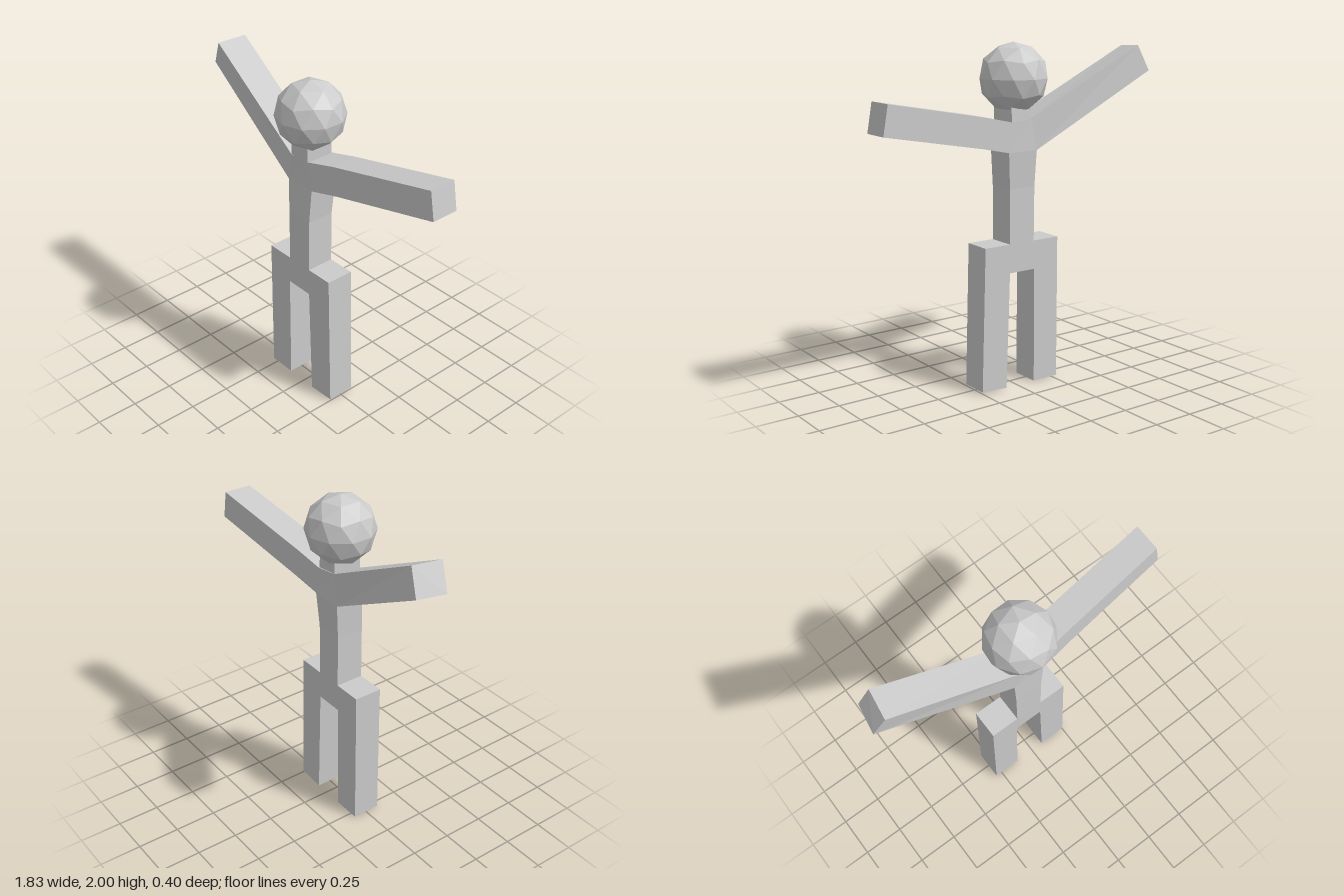
import * as THREE from 'three';

const material = new THREE.MeshStandardMaterial({ color: 0xcccccc, flatShading: true });

function part(name, geometry) {
  const mesh = new THREE.Mesh(geometry, material);
  mesh.name = name;
  return mesh;
}

// Flat-sided skin through four-cornered sections, optionally closed at the ends
function loft(sections, capped) {
  const positions = [];
  const quad = (a, b, c, d) => positions.push(...a, ...b, ...c, ...a, ...c, ...d);
  for (let s = 0; s < sections.length - 1; s++) {
    const a = sections[s], b = sections[s + 1];
    for (let i = 0; i < 4; i++) {
      const j = (i + 1) % 4;
      quad(a[i], b[i], b[j], a[j]);
    }
  }
  if (capped) {
    quad(...sections[0]);
    quad(...[...sections[sections.length - 1]].reverse());
  }
  const geometry = new THREE.BufferGeometry();
  geometry.setAttribute('position', new THREE.Float32BufferAttribute(positions, 3));
  geometry.computeVertexNormals();
  return geometry;
}

// Level rectangle for upright parts
const level = (y, x0, x1, back, front) =>
  [[x0, y, back], [x1, y, back], [x1, y, front], [x0, y, front]];

// Arm section: lower and upper edge points, swept from front to back
const across = (xLow, yLow, xHigh, yHigh, front, back) =>
  [[xLow, yLow, front], [xHigh, yHigh, front], [xHigh, yHigh, back], [xLow, yLow, back]];

export function createModel() {
  const model = new THREE.Group();
  model.name = 'stickFigure';

  // Hips and both legs share one outline
  const outline = new THREE.Shape([
    [-0.29, 0], [-0.12, 0], [-0.12, 0.69], [0.055, 0.69],
    [0.08, 0], [0.25, 0.01], [0.225, 0.86], [-0.29, 0.86],
  ].map(([x, y]) => new THREE.Vector2(x, y)));
  const legs = new THREE.ExtrudeGeometry(outline, { depth: 0.17, bevelEnabled: false });
  legs.translate(0, 0, -0.083);
  model.add(part('hipsAndLegs', legs));

  // Torso, widening slightly towards the shoulders
  model.add(part('torso', loft([
    level(0.86, -0.115, 0.055, -0.083, 0.087),
    level(1.18, -0.118, 0.055, -0.083, 0.085),
    level(1.39, -0.125, 0.07, -0.095, 0.08),
  ])));

  // Arms run from hand to hand through the chest
  model.add(part('armsAndChest', loft([
    [[-0.915, 1.8, -0.02], [-0.84, 1.95, 0.005], [-0.815, 1.96, -0.17], [-0.885, 1.81, -0.193]],
    [[-0.125, 1.388, 0.08], [-0.09, 1.558, 0.087], [-0.09, 1.575, -0.09], [-0.125, 1.39, -0.095]],
    across(0.07, 1.39, 0.045, 1.56, 0.08, -0.095),
    across(0.25, 1.43, 0.22, 1.6, 0.06, -0.11),
    across(0.91, 1.558, 0.88, 1.725, 0.003, -0.163),
  ], true)));

  // Neck reaching into the head
  model.add(part('neck', loft([
    level(1.56, -0.09, 0.045, -0.088, 0.087),
    level(1.65, -0.09, 0.045, -0.083, 0.087),
  ])));

  // Faceted head with a corner pointing straight up
  const head = new THREE.IcosahedronGeometry(0.2, 1);
  head.rotateZ(Math.atan(2 / (1 + Math.sqrt(5))));
  head.rotateY(Math.PI);
  head.translate(-0.03, 1.8, 0);
  model.add(part('head', head));

  return model;
}
